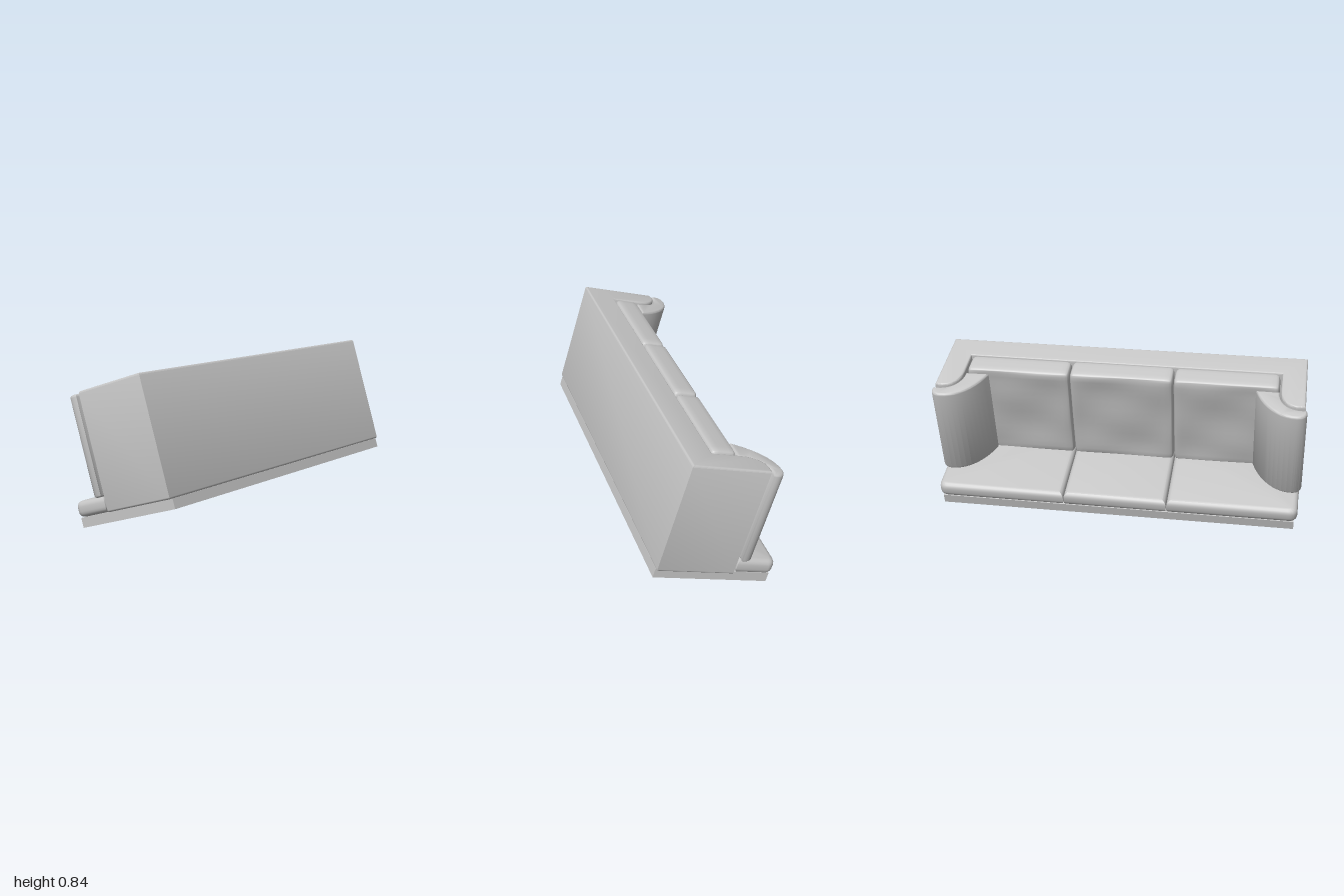
import * as THREE from 'three';
import { mergeVertices, toCreasedNormals } from 'three/addons/utils/BufferGeometryUtils.js';

const fabric = new THREE.MeshStandardMaterial({ color: 0xc6c6c6 });
fabric.name = 'light grey fabric';

// Plan outline (x, distance forward from the back) raised from y0 to y1 with rounded rims
function slab(name, shape, y0, y1, bevel, segments = 4) {
  let g = new THREE.ExtrudeGeometry(shape, {
    depth: y1 - y0 - 2 * bevel, curveSegments: 10, bevelEnabled: bevel > 0,
    bevelThickness: bevel, bevelSize: bevel, bevelOffset: -bevel, bevelSegments: segments,
  });
  g.translate(0, 0, bevel).rotateX(-Math.PI / 2).translate(0, y0, 0);
  g = toCreasedNormals(g, 0.6);
  const mesh = new THREE.Mesh(g, fabric);
  mesh.name = name;
  return mesh;
}

// Soft box with rounded edges and a gently rumpled front
function cushion(name, x0, x1, y0, y1, f0, f1, r, seed) {
  const half = [(x1 - x0) / 2, (y1 - y0) / 2, (f1 - f0) / 2];
  let g = new THREE.BoxGeometry(2, 2, 2, 16, 16, 8);
  g.deleteAttribute('uv');
  g.deleteAttribute('normal');
  g = mergeVertices(g);
  const p = g.attributes.position;
  const v = new THREE.Vector3(), core = new THREE.Vector3();
  for (let i = 0; i < p.count; i++) {
    v.fromBufferAttribute(p, i);
    const a = v.x, b = v.y, front = v.z < -0.99;
    // rows crowd toward the edges so the rounding stays smooth
    v.set(...['x', 'y', 'z'].map((k, n) => half[n] * Math.sin(v[k] * Math.PI / 2)));
    core.set(...['x', 'y', 'z'].map((k, n) => THREE.MathUtils.clamp(v[k], r - half[n], half[n] - r)));
    v.sub(core);
    if (v.length() > 0) v.setLength(r);
    v.add(core);
    if (front) {
      const fade = (1 - a * a) * (1 - b * b);
      v.z += fade * (0.008 + 0.004 * Math.sin(a * 5 + b * 4 + seed) + 0.003 * Math.sin(b * 9 - a * 3 + seed));
    }
    p.setXYZ(i, v.x, v.y, v.z);
  }
  g.translate((x0 + x1) / 2, (y0 + y1) / 2, -(f0 + f1) / 2);
  g.computeVertexNormals();
  const mesh = new THREE.Mesh(g, fabric);
  mesh.name = name;
  return mesh;
}

export function createModel() {
  const sofa = new THREE.Group();
  sofa.name = 'sofa';

  // Base plate
  const base = new THREE.Mesh(new THREE.BoxGeometry(1.936, 0.052, 0.635), fabric);
  base.name = 'basePlate';
  base.position.set(0, 0.026, -0.3175);
  sofa.add(base);

  // Backrest and arms as one U-shaped shell
  const shell = new THREE.Shape();
  shell.moveTo(-0.988, 0);
  shell.lineTo(0.988, 0);
  shell.lineTo(0.988, 0.42);
  shell.bezierCurveTo(0.92, 0.445, 0.856, 0.4, 0.856, 0.3);
  shell.lineTo(0.856, 0.148);
  shell.lineTo(-0.856, 0.148);
  shell.lineTo(-0.856, 0.3);
  shell.bezierCurveTo(-0.856, 0.4, -0.92, 0.445, -0.988, 0.42);
  shell.closePath();
  sofa.add(slab('backAndArms', shell, 0.052, 0.671, 0.01, 3));

  for (const s of [-1, 1]) {
    const side = s > 0 ? 'left' : 'right';

    // Curved pad rolling over the arm front and sweeping inward
    const pad = new THREE.Shape();
    pad.moveTo(s * 0.995, 0.435);
    pad.bezierCurveTo(s * 1.004, 0.475, s * 0.985, 0.502, s * 0.945, 0.504);
    pad.bezierCurveTo(s * 0.85, 0.507, s * 0.765, 0.42, s * 0.725, 0.295);
    pad.lineTo(s * 0.85, 0.295);
    pad.bezierCurveTo(s * 0.85, 0.4, s * 0.92, 0.452, s * 0.995, 0.435);
    sofa.add(slab(side + 'ArmPad', pad, 0.134, 0.662, 0.014));

    // Outer seat cushion, wrapping in front of the arm
    const seat = new THREE.Shape();
    seat.moveTo(s * 0.284, 0.15);
    seat.lineTo(s * 0.85, 0.15);
    seat.lineTo(s * 0.85, 0.43);
    seat.lineTo(s * 0.985, 0.43);
    seat.lineTo(s * 0.985, 0.6);
    seat.quadraticCurveTo(s * 0.985, 0.648, s * 0.935, 0.648);
    seat.lineTo(s * 0.284, 0.648);
    seat.closePath();
    sofa.add(slab(side + 'SeatCushion', seat, 0.053, 0.137, 0.03));

    const [a, b] = [s * 0.284, s * 0.848].sort((m, n) => m - n);
    sofa.add(cushion(side + 'BackCushion', a, b, 0.12, 0.678, 0.15, 0.289, 0.03, s + 2));
  }

  // Middle cushions
  const middle = new THREE.Shape();
  middle.moveTo(-0.281, 0.15);
  middle.lineTo(0.281, 0.15);
  middle.lineTo(0.281, 0.648);
  middle.lineTo(-0.281, 0.648);
  middle.closePath();
  sofa.add(slab('middleSeatCushion', middle, 0.053, 0.137, 0.03));
  sofa.add(cushion('middleBackCushion', -0.281, 0.281, 0.12, 0.68, 0.15, 0.289, 0.03, 5));

  // The whole sofa leans forward, with a trace of roll and yaw
  const deg = Math.PI / 180;
  sofa.rotation.set(-17 * deg, -0.3 * deg, 0.45 * deg, 'ZYX');
  sofa.position.set(0, 0.194, 0.333);
  const model = new THREE.Group();
  model.name = 'tiltedSofa';
  model.add(sofa);
  return model;
}
